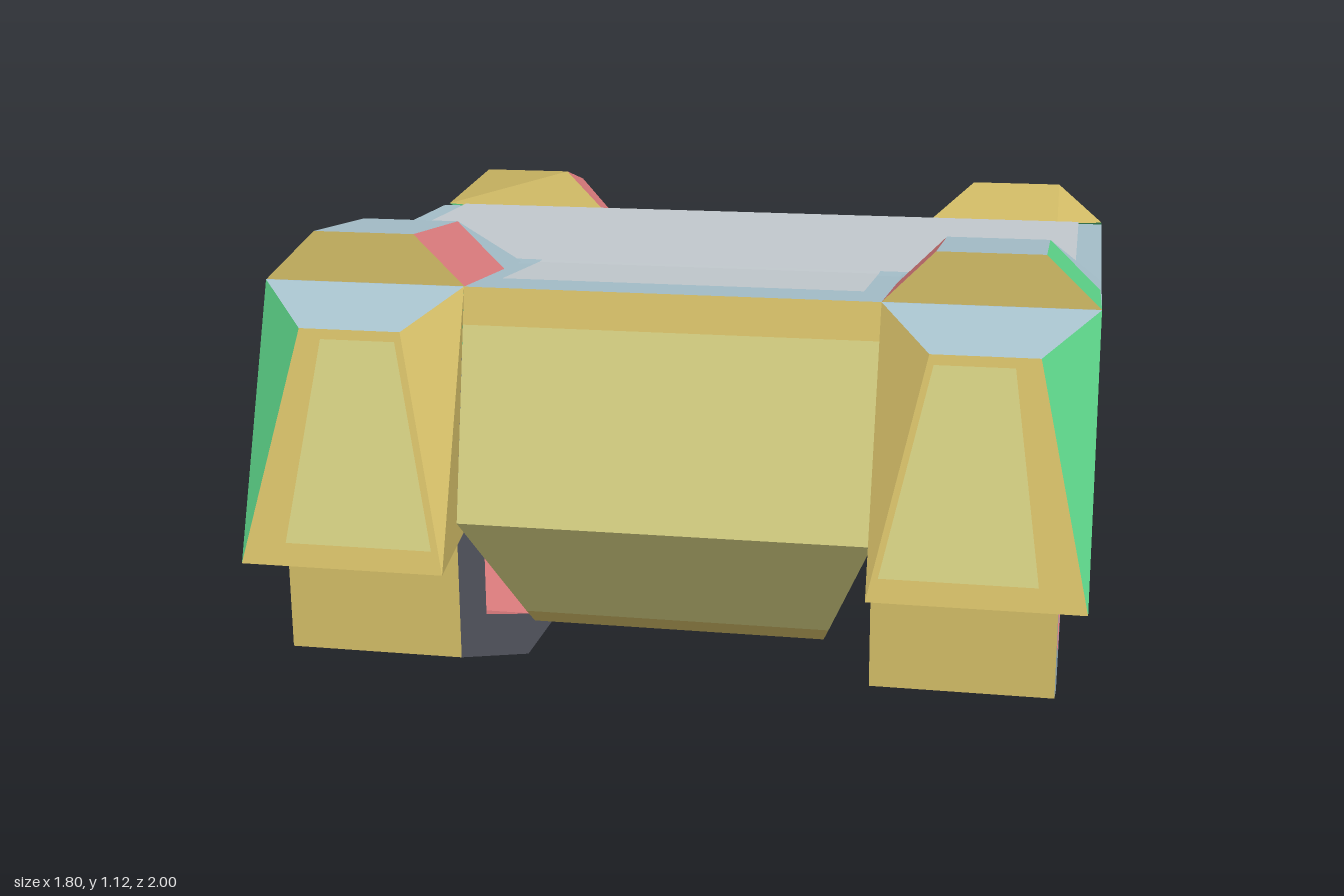
import * as THREE from 'three';

const paint = (name, color) => {
  const m = new THREE.MeshStandardMaterial({ color, side: THREE.DoubleSide });
  m.name = name;
  return m;
};
const mats = {
  top: paint('pale blue', 0xa6c0cb), patch: paint('light grey', 0xc4cbd0),
  yellow: paint('ochre', 0xd9c26a), cream: paint('pale yellow', 0xd8d384),
  green: paint('green', 0x5dd489), blue: paint('blue', 0x5da8d6),
  red: paint('coral', 0xe07e80), dark: paint('slate', 0x62656f),
};
const UP = [0, 1, 0], DOWN = [0, -1, 0], FRONT = [0, 0, 1], BACK = [0, 0, -1], OUT = [1, 0, 0], IN = [-1, 0, 0];

// Flat-sided part from faces [colour, facing direction, ...corners]; s = -1 mirrors it
function part(name, faces, s = 1) {
  const geo = new THREE.BufferGeometry(), pos = [], used = [];
  for (const [color, dir, ...pts] of faces) {
    const start = pos.length / 3;
    const p = pts.map(([x, y, z]) => new THREE.Vector3(x * s, y, z));
    const want = new THREE.Vector3(dir[0] * s, dir[1], dir[2]);
    const normal = new THREE.Vector3();
    for (let i = 1; i < p.length - 1; i++) {
      normal.add(p[i].clone().sub(p[0]).cross(p[i + 1].clone().sub(p[0])));
    }
    if (normal.dot(want) < 0) p.reverse();
    for (let i = 1; i < p.length - 1; i++) {
      for (const v of [p[0], p[i], p[i + 1]]) pos.push(v.x, v.y, v.z);
    }
    if (!used.includes(mats[color])) used.push(mats[color]);
    geo.addGroup(start, pos.length / 3 - start, used.indexOf(mats[color]));
  }
  geo.setAttribute('position', new THREE.Float32BufferAttribute(pos, 3));
  geo.computeVertexNormals();
  const mesh = new THREE.Mesh(geo, used);
  mesh.name = name;
  return mesh;
}

// Strip across x between two [z, y] points
const strip = (color, dir, a, b, wa, wb = wa) =>
  [color, dir, [-wa, a[1], a[0]], [wa, a[1], a[0]], [wb, b[1], b[0]], [-wb, b[1], b[0]]];

const W = 0.9, I = 0.45, R = 0.785, Q = 0.56; // outer, inner, ridge outer, ridge inner

function body() {
  const prof = [[0.78, 1.01], [0.36, 0.98], [-0.47, 0.97], [-0.68, 0.9]];
  const faces = [];
  for (let i = 0; i < 3; i++) faces.push(strip('top', UP, prof[i], prof[i + 1], W));
  faces.push(
    strip('yellow', FRONT, prof[0], [0.797, 0.93], I),
    strip('cream', FRONT, [0.797, 0.93], [0.89, 0.51], I),
    strip('blue', BACK, prof[3], [-0.9, 0.51], I),
    strip('dark', DOWN, [0.89, 0.51], [-0.9, 0.51], W));
  const side = [[0.89, 0.51], ...prof, [-0.9, 0.51]];
  for (const s of [1, -1]) faces.push(['green', [s, 0, 0], ...side.map(([z, y]) => [s * W, y, z])]);
  return part('body', faces);
}

// Lighter panels laid on the deck
const deckPanels = () => part('deckPanels', [
  strip('patch', UP, [0.66, 1.006], [0.36, 0.985], 0.4),
  strip('patch', UP, [0.36, 0.985], [0.33, 0.985], 0.4),
  strip('patch', UP, [0.33, 0.985], [-0.47, 0.975], 0.84),
  strip('patch', UP, [-0.47, 0.975], [-0.68, 0.905], 0.4),
]);

function hull() {
  const t = 0.51, b = 0.23, w = 0.33, z = 0.72;
  const faces = [
    strip('cream', FRONT, [0.89, t], [z + 0.02, 0.26], I, 0.343),
    strip('yellow', FRONT, [z + 0.02, 0.26], [z, b], 0.343, w),
    strip('blue', BACK, [-0.89, t], [-z, b], I, w),
    strip('dark', DOWN, [z, b], [-z, b], w)];
  for (const s of [1, -1]) {
    faces.push(['green', [s, 0, 0], [s * I, t, 0.89], [s * w, b, z], [s * w, b, -z], [s * I, t, -0.89]]);
  }
  return part('hull', faces);
}

function frontFender(s) {
  const A = [W, 0.43, 1], A2 = [I, 0.43, 1], B = [W, 1.01, 0.78], B2 = [I, 1.01, 0.78];
  const C = [R, 0.93, 0.89], C2 = [Q, 0.93, 0.89], D = [W, 0.51, 0.89], D2 = [I, 0.51, 0.89];
  const E = [W, 0.51, 0.72], E2 = [I, 0.51, 0.72];
  return part('frontFender', [
    ['yellow', FRONT, A, C, C2, A2],
    ['cream', FRONT, [0.8, 0.48, 0.993], [0.735, 0.91, 0.899], [0.57, 0.91, 0.899], [0.475, 0.48, 0.993]],
    ['top', UP, B, B2, C2, C],
    ['green', OUT, A, B, C], ['green', OUT, A, B, D], ['green', OUT, A, D, E],
    ['yellow', [-1, 0, 1], A2, C2, B2], ['yellow', IN, A2, B2, D2], ['yellow', IN, A2, D2, E2],
    ['dark', DOWN, A, A2, E2, E],
  ], s);
}

function rearFender(s) {
  const A = [W, 0.45, -1], A2 = [I, 0.45, -1], B = [W, 0.9, -0.68], B2 = [I, 0.9, -0.68];
  const C = [R, 0.84, -0.77], C2 = [Q, 0.84, -0.77], D = [W, 0.51, -0.9], D2 = [I, 0.51, -0.9];
  const E = [W, 0.51, -0.72], E2 = [I, 0.51, -0.72];
  return part('rearFender', [
    ['blue', BACK, A, C, C2, A2],
    ['blue', [1, 0, -1], A, B, C], ['blue', OUT, A, B, D], ['green', OUT, A, D, E],
    ['red', [-1, 0, -1], A2, C2, B2], ['red', IN, A2, B2, D2], ['red', IN, A2, D2, E2],
    ['dark', DOWN, A, A2, E2, E],
  ], s);
}

function frontBlister(s) {
  const ring = (z, y, base) => [[W, base, z], [R, y, z], [Q, y, z], [I, base, z]];
  const f = ring(0.777, 1.12, 1.01), b = ring(0.468, 1.095, 0.985);
  const w = [W, 0.98, 0.335], w2 = [I, 0.98, 0.335], p = [R, 0.998, 0.335], p2 = [Q, 0.998, 0.335];
  return part('frontBlister', [
    ['yellow', FRONT, ...f],
    ['green', OUT, f[0], f[1], b[1], b[0]],
    ['top', UP, f[1], f[2], b[2], b[1]],
    ['red', IN, f[2], f[3], b[3], b[2]],
    ['top', [0, 1, -1], b[1], b[2], p2, p],
    ['top', [1, 1, 0], b[0], b[1], p, w], ['top', [-1, 1, 0], b[3], b[2], p2, w2],
    ['top', BACK, p, p2, w2, w],
  ], s);
}

function rearBlister(s) {
  const ridge = [[0.84, -0.77], [0.94, -0.77], [1.02, -0.69], [1.065, -0.52]];
  const o = ridge.map(([y, z]) => [R, y, z]), n = ridge.map(([y, z]) => [Q, y, z]);
  const B = [W, 0.9, -0.68], B2 = [I, 0.9, -0.68], F = [W, 0.968, -0.51], F2 = [I, 0.968, -0.478];
  return part('rearBlister', [
    ['blue', BACK, o[0], o[1], n[1], n[0]],
    ['top', UP, o[1], o[2], n[2], n[1]], ['top', UP, o[2], o[3], n[3], n[2]],
    ['green', OUT, B, ...o, F],
    ['red', IN, B2, ...n, F2],
    ['yellow', FRONT, o[3], n[3], F2, [R, 0.968, -0.48], F],
  ], s);
}

// Open loop-shaped skid
function skid(s) {
  const x0 = I, x1 = 0.84, faces = [];
  const outer = [[0.89, 0.51], [0.89, 0.2], [0.37, 0], [-0.37, 0], [-0.9, 0.2], [-0.9, 0.51], [-0.3, 0.51], [0.3, 0.51]];
  const inner = [[0.7, 0.45], [0.7, 0.23], [0.29, 0.075], [-0.29, 0.075], [-0.7, 0.23], [-0.7, 0.45], [-0.3, 0.49], [0.3, 0.49]];
  const outCol = ['yellow', 'green', 'green', 'green', 'blue'];
  const inCol = ['blue', 'red', 'red', 'red', 'yellow', 'green', 'green', 'green'];
  const at = (x, [z, y]) => [x, y, z];
  for (let i = 0; i < 8; i++) {
    const j = (i + 1) % 8, a = outer[i], b = outer[j], c = inner[i], d = inner[j];
    const away = [0, (a[1] + b[1]) / 2 - 0.27, (a[0] + b[0]) / 2];
    faces.push(['top', OUT, at(x1, a), at(x1, b), at(x1, d), at(x1, c)]);
    faces.push(['dark', IN, at(x0, a), at(x0, b), at(x0, d), at(x0, c)]);
    if (outCol[i]) faces.push([outCol[i], away, at(x0, a), at(x1, a), at(x1, b), at(x0, b)]);
    faces.push([inCol[i], away.map(v => -v), at(x0, c), at(x1, c), at(x1, d), at(x0, d)]);
  }
  return part('skid', faces, s);
}

export function createModel() {
  const group = new THREE.Group();
  group.name = 'armouredHull';
  group.add(body(), deckPanels(), hull());
  for (const s of [1, -1]) {
    const side = new THREE.Group();
    side.name = s > 0 ? 'leftSide' : 'rightSide';
    side.add(frontFender(s), rearFender(s), frontBlister(s), rearBlister(s), skid(s));
    group.add(side);
  }
  return group;
}
